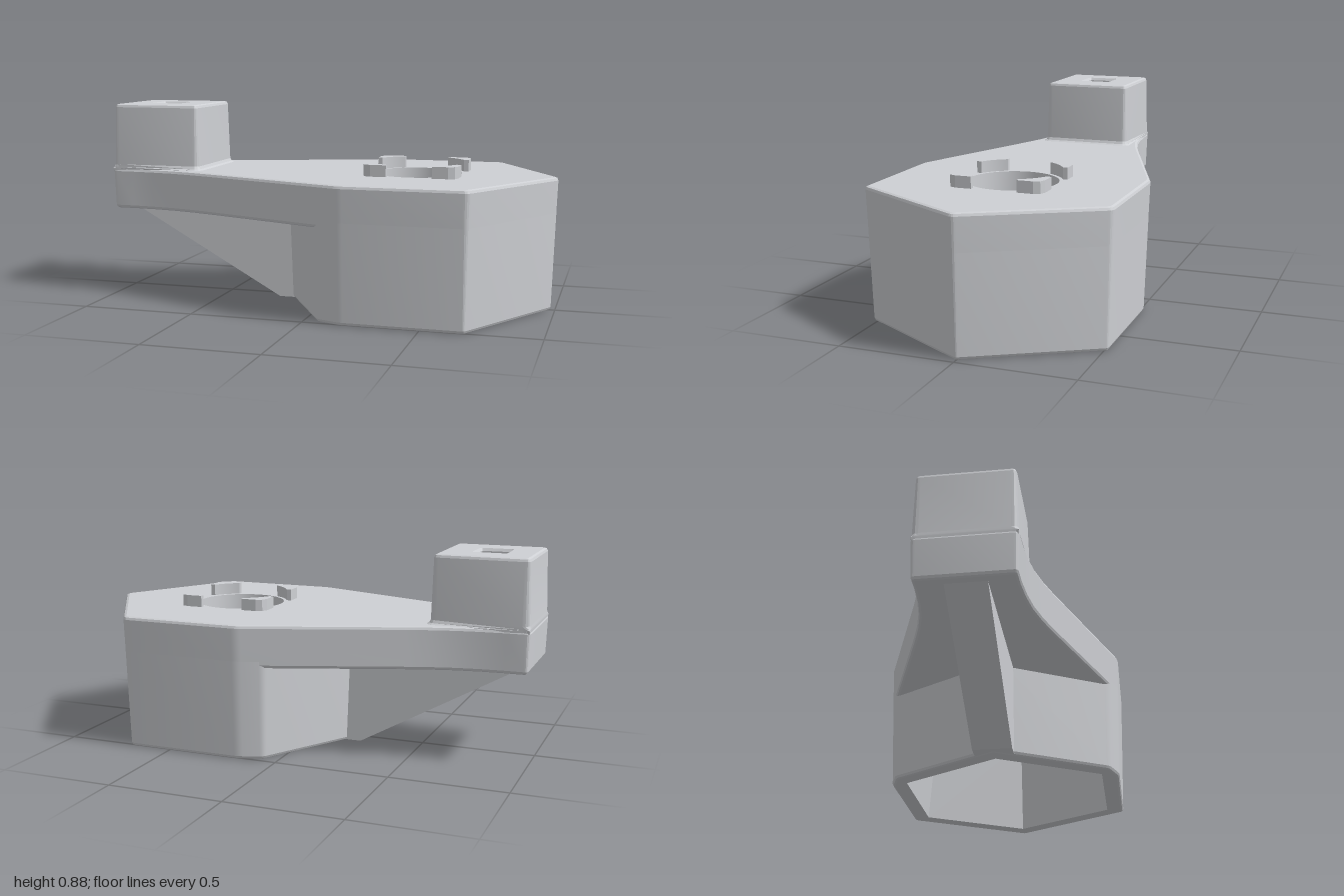
import * as THREE from 'three';
import { toCreasedNormals } from 'three/addons/utils/BufferGeometryUtils.js';

const HUB = 0.38, TOP = 0.585, DECK = 0.4, CEIL = 0.45;
const draft = (y) => 0.03 * (TOP - y);

// Outlines are counter-clockwise lists of [x, z].
const mirrorZ = (half) => [...half, ...half.filter((p) => p[1] > 0).reverse().map(([x, z]) => [x, -z])];

const polygon = (cx, r, n) => Array.from({ length: n }, (_, i) => {
  const a = (i / n) * Math.PI * 2;
  return [cx + r * Math.cos(a), r * Math.sin(a)];
});

const square = (cx, h) => [[cx + h, -h], [cx + h, h], [cx - h, h], [cx - h, -h]];

// Softens the sharp corners of an outline.
function soften(pts, cut) {
  const out = [];
  pts.forEach((p, i) => {
    const b = new THREE.Vector2(...p);
    const toA = new THREE.Vector2(...pts.at(i - 1)).sub(b).normalize();
    const toC = new THREE.Vector2(...pts[(i + 1) % pts.length]).sub(b).normalize();
    if (toA.dot(toC) < -0.95) return out.push(p);
    const curve = new THREE.QuadraticBezierCurve(b.clone().addScaledVector(toA, cut), b, b.clone().addScaledVector(toC, cut));
    curve.getPoints(4).forEach((q) => out.push([q.x, q.y]));
  });
  return out;
}

// Moves every side of an outline inwards by d.
function inset(pts, d) {
  return pts.map((p, i) => {
    const a = pts.at(i - 1), c = pts[(i + 1) % pts.length];
    const n1 = new THREE.Vector2(a[1] - p[1], p[0] - a[0]).normalize();
    const n2 = new THREE.Vector2(p[1] - c[1], c[0] - p[0]).normalize();
    const k = d / (1 + n1.dot(n2));
    return [p[0] + (n1.x + n2.x) * k, p[1] + (n1.y + n2.y) * k];
  });
}

// Skins rings of { y, pts }; inward turns the faces to the inside.
function loft(out, rings, inward = false) {
  for (let k = 0; k + 1 < rings.length; k++) {
    const lo = rings[k], hi = rings[k + 1], n = lo.pts.length;
    const at = (r, i) => [r.pts[i % n][0], r.y, r.pts[i % n][1]];
    for (let i = 0; i < n; i++) {
      const a = at(lo, i), b = at(lo, i + 1), c = at(hi, i + 1), d = at(hi, i);
      out.push(...(inward ? [a, c, d, a, b, c] : [a, d, c, a, c, b]).flat());
    }
  }
}

// Flat face at height y, optionally with a hole.
function cap(out, pts, y, up, hole) {
  const vec = (list) => list.map((p) => new THREE.Vector2(...p));
  const all = hole ? [...pts, ...hole] : pts;
  for (const [i, j, k] of THREE.ShapeUtils.triangulateShape(vec(pts), hole ? [vec(hole)] : [])) {
    const [a, b, c] = [all[i], all[j], all[k]];
    const down = (b[0] - a[0]) * (c[1] - a[1]) - (b[1] - a[1]) * (c[0] - a[0]) > 0;
    const tri = down === up ? [a, c, b] : [a, b, c];
    tri.forEach((p) => out.push(p[0], y, p[1]));
  }
}

export function createModel() {
  const group = new THREE.Group();
  const grey = new THREE.MeshStandardMaterial({ color: 0xced0d4 });
  grey.name = 'plain grey';

  const add = (name, out) => {
    const g = new THREE.BufferGeometry();
    g.setAttribute('position', new THREE.Float32BufferAttribute(out, 3));
    const mesh = new THREE.Mesh(toCreasedNormals(g, 0.18), grey);
    mesh.name = name;
    group.add(mesh);
  };
  const ringsOf = (outline, steps) => steps.map(([y, d]) => ({ y, pts: inset(outline, d) }));

  const cavity = (y) => polygon(HUB, 0.51 - 0.1 * y, 6);
  const bore = polygon(HUB + 0.005, 0.195, 48);

  // Deck: hexagonal head running into the narrowing arm
  const deckOutline = soften(mirrorZ([[1.005, 0], [0.695, 0.536], [0.16, 0.536], [-0.5, 0.297], [-0.6, 0.264],
    [-0.7, 0.238], [-0.8, 0.222], [-0.9, 0.213], [-1, 0.21]]), 0.022);
  const deckRings = ringsOf(deckOutline, [[DECK, draft(DECK) + 0.014], [DECK + 0.004, draft(DECK) + 0.005],
    [DECK + 0.014, draft(DECK)], [TOP - 0.014, 0], [TOP - 0.004, 0.004], [TOP, 0.014]]);
  const deck = [];
  loft(deck, deckRings);
  cap(deck, deckRings[0].pts, DECK, false, cavity(DECK));
  cap(deck, deckRings.at(-1).pts, TOP, true, bore);
  loft(deck, [{ y: CEIL, pts: bore }, { y: TOP, pts: bore }], true);
  add('deck', deck);

  // Hollow hexagonal housing under the deck
  const hubOutline = soften(mirrorZ([[1.005, 0], [0.695, 0.536], [0.16, 0.536], [0.05, 0.496], [-0.24, 0]]), 0.022);
  const hubRings = ringsOf(hubOutline, [[0, draft(0) + 0.014], [0.004, draft(0) + 0.005], [0.014, draft(0)],
    [DECK + 0.03, draft(DECK + 0.03)]]);
  const housing = [];
  loft(housing, hubRings);
  cap(housing, hubRings[0].pts, 0, false, cavity(0));
  loft(housing, [{ y: 0, pts: cavity(0) }, { y: CEIL, pts: cavity(CEIL) }], true);
  cap(housing, cavity(CEIL), CEIL, false, bore);
  add('housing', housing);

  // Triangular rib bracing the arm
  const ribShape = new THREE.Shape([[-0.965, 0.41], [-0.235, 0.003], [-0.155, 0.003], [-0.14, 0.42], [-0.965, 0.42]]
    .map((p) => new THREE.Vector2(...p)));
  const rib = new THREE.Mesh(new THREE.ExtrudeGeometry(ribShape, { depth: 0.17, bevelEnabled: false }).translate(0, 0, -0.085), grey);
  rib.name = 'rib';
  group.add(rib);

  // Square post at the arm's end with a blind socket; its foot flares only where the arm widens
  const postRings = ringsOf(soften(square(-0.787, 0.209), 0.03), [[TOP - 0.035, 0], [TOP, -0.016],
    [TOP + 0.006, -0.006], [TOP + 0.018, 0], [0.864, 0.008], [0.874, 0.012], [0.878, 0.022]]);
  postRings.forEach((r) => {
    r.pts = r.pts.map(([x, z]) => {
      const limit = 0.209 + Math.max(0, x + 0.75) * 0.1;
      return [Math.max(x, -0.998), THREE.MathUtils.clamp(z, -limit, limit)];
    });
  });
  const socketRings = ringsOf(soften(square(-0.792, 0.074), 0.015), [[0.68, 0.008], [0.866, 0.008], [0.878, 0]]);
  const post = [];
  loft(post, postRings);
  cap(post, postRings.at(-1).pts, 0.878, true, socketRings.at(-1).pts);
  loft(post, socketRings, true);
  cap(post, socketRings[0].pts, 0.68, true);
  add('post', post);

  // Four corner lugs around the bore
  const lug = [[0.208, 0.1], [0.208, 0.17], [0.197, 0.197], [0.17, 0.208], [0.1, 0.208]];
  for (let i = 0; i <= 8; i++) {
    const a = THREE.MathUtils.degToRad(62 - (34 * i) / 8);
    lug.push([0.212 * Math.cos(a), 0.212 * Math.sin(a)]);
  }
  for (const sx of [1, -1]) for (const sz of [1, -1]) {
    const pts = lug.map(([x, z]) => [HUB + 0.008 + sx * x, sz * z]);
    if (sx * sz < 0) pts.reverse();
    const out = [];
    loft(out, [{ y: TOP - 0.01, pts }, { y: 0.636, pts }]);
    cap(out, pts, 0.636, true);
    add('lug', out);
  }
  return group;
}
